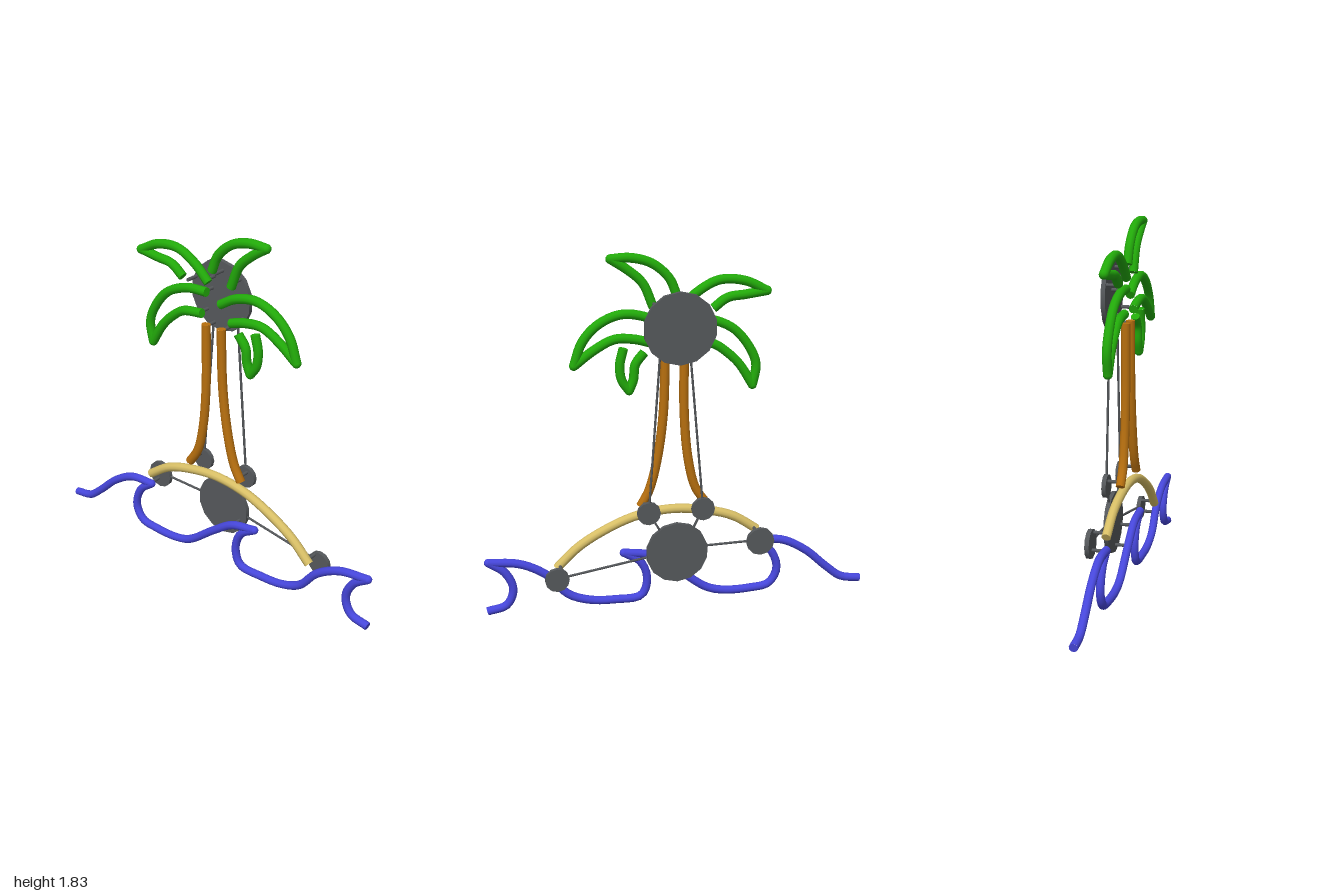
import * as THREE from 'three';

const mat = (name, color) => {
  const m = new THREE.MeshStandardMaterial({ color });
  m.name = name;
  return m;
};

const Z_ROD = 0.032, Z_DISC = -0.046, DISC_T = 0.022;

export function createModel() {
  const root = new THREE.Group();
  root.name = 'palmIslandWallArt';
  const green = mat('leafGreen', 0x22aa0a);
  const brown = mat('trunkBrown', 0xb8700f);
  const sand = mat('sandYellow', 0xd9c067);
  const blue = mat('waveBlue', 0x4747dc);
  const grey = mat('metalGrey', 0x55585b);

  const add = (parent, geo, material, name) => {
    const m = new THREE.Mesh(geo, material);
    m.name = name;
    parent.add(m);
    return m;
  };

  // Bent rod: smooth strokes that meet in sharp tips, flat caps at both ends
  function rod(name, material, r, strokes) {
    const g = new THREE.Group();
    g.name = name;
    strokes.forEach((pts, i) => {
      const curve = new THREE.CatmullRomCurve3(pts.map(([x, y]) => new THREE.Vector3(x, y, Z_ROD)));
      add(g, new THREE.TubeGeometry(curve, pts.length * 4, r, 10), material, name + 'Stroke');
      if (i > 0) add(g, new THREE.SphereGeometry(r, 10, 8), material, name + 'Tip').position.copy(curve.getPoint(0));
      const cap = (t, sign) => {
        const c = add(g, new THREE.CircleGeometry(r, 10), material, name + 'Cap');
        c.position.copy(curve.getPoint(t));
        c.quaternion.setFromUnitVectors(new THREE.Vector3(0, 0, 1), curve.getTangent(t).multiplyScalar(sign));
      };
      if (i === 0) cap(0, -1);
      if (i === strokes.length - 1) cap(1, 1);
    });
    root.add(g);
  }

  // Palm fronds: out along the upper edge, back along the lower edge
  const fronds = {
    leftUpperFrond: [
      [[-0.02, 1.56], [-0.10, 1.635], [-0.21, 1.69], [-0.34, 1.68], [-0.45, 1.627]],
      [[-0.45, 1.627], [-0.34, 1.612], [-0.25, 1.60], [-0.18, 1.55]]],
    topFrond: [
      [[0.003, 1.625], [0.04, 1.71], [0.125, 1.785], [0.23, 1.815], [0.325, 1.812]],
      [[0.325, 1.812], [0.24, 1.755], [0.17, 1.69], [0.12, 1.572]]],
    rightFrond: [
      [[0.055, 1.467], [0.15, 1.52], [0.275, 1.54], [0.39, 1.495], [0.47, 1.41], [0.512, 1.295]],
      [[0.512, 1.295], [0.41, 1.37], [0.31, 1.418], [0.21, 1.413], [0.12, 1.388]]],
    leftLowerFrond: [
      [[-0.03, 1.508], [-0.15, 1.5], [-0.28, 1.445], [-0.365, 1.345], [-0.40, 1.255], [-0.383, 1.15]],
      [[-0.383, 1.15], [-0.315, 1.26], [-0.25, 1.325], [-0.18, 1.372], [-0.06, 1.39]]],
    smallFrond: [
      [[0.165, 1.345], [0.21, 1.285], [0.22, 1.21], [0.242, 1.155]],
      [[0.242, 1.155], [0.278, 1.21], [0.287, 1.285], [0.268, 1.37]]],
  };
  for (const name in fronds) rod(name, green, 0.0235, fronds[name]);

  // Trunk outlines
  rod('leftTrunk', brown, 0.0235,
    [[[-0.035, 1.34], [-0.035, 1.02], [-0.055, 0.78], [-0.093, 0.62], [-0.145, 0.54]]]);
  rod('rightTrunk', brown, 0.0235,
    [[[0.06, 1.34], [0.072, 1.02], [0.105, 0.78], [0.147, 0.62], [0.19, 0.54]]]);

  // Sandy island arc
  rod('island', sand, 0.0235,
    [[[-0.42, 0.365], [-0.29, 0.45], [-0.125, 0.497], [0.04, 0.513], [0.22, 0.487], [0.38, 0.422], [0.515, 0.34], [0.625, 0.235]]]);

  // Three breaking waves in one line
  rod('waves', blue, 0.0215, [
    [[-0.992, 0.036], [-0.89, 0.053], [-0.805, 0.118], [-0.685, 0.225], [-0.555, 0.293], [-0.42, 0.3]],
    [[-0.42, 0.3], [-0.50, 0.235], [-0.533, 0.13], [-0.49, 0.05], [-0.39, 0.032], [-0.25, 0.032],
      [-0.155, 0.058], [0.01, 0.18], [0.14, 0.265], [0.28, 0.29]],
    [[0.28, 0.29], [0.195, 0.235], [0.16, 0.14], [0.19, 0.045], [0.33, 0.032], [0.46, 0.042],
      [0.57, 0.085], [0.675, 0.2], [0.81, 0.273], [0.97, 0.294]],
    [[0.97, 0.294], [0.89, 0.235], [0.85, 0.14], [0.885, 0.055], [0.985, 0.027]],
  ]);

  // Backing discs
  const discs = [
    ['crownDisc', 0, 1.475, 0.182, 14], ['baseDisc', 0.018, 0.305, 0.16, 14],
    ['islandDisc', -0.42, 0.328, 0.073, 12], ['islandDisc', 0.633, 0.205, 0.062, 12],
    ['trunkDisc', -0.117, 0.532, 0.06, 12], ['trunkDisc', 0.162, 0.528, 0.06, 12],
  ];
  for (const [name, x, y, r, sides] of discs) {
    const d = add(root, new THREE.CylinderGeometry(r, r, DISC_T, sides), grey, name);
    d.rotation.x = Math.PI / 2;
    d.position.set(x, y, Z_DISC);
  }

  // Standoff pins from the discs to the rods
  const pins = [
    [-0.035, 1.57], [0.015, 1.61], [0.12, 1.59], [-0.15, 1.54], [-0.05, 1.505], [0.07, 1.475], [0.14, 1.395],
    [-0.08, 1.388], [-0.035, 1.33], [0.06, 1.33], [-0.13, 0.56], [0.175, 0.56], [0.02, 0.183], [0.13, 0.258],
    [-0.4, 0.38], [-0.43, 0.3], [0.61, 0.25], [0.652, 0.175],
  ];
  for (const [x, y] of pins) {
    const p = add(root, new THREE.CylinderGeometry(0.009, 0.009, Z_ROD - Z_DISC, 8), grey, 'standoffPin');
    p.rotation.x = Math.PI / 2;
    p.position.set(x, y, (Z_ROD + Z_DISC) / 2);
  }

  // Thin bracing wires between the discs
  const wires = [
    [-0.42, 0.335, 0.018, 0.325], [0.633, 0.21, 0.018, 0.315],
    [-0.117, 0.532, 0.0, 0.3], [0.162, 0.528, 0.03, 0.3],
    [-0.117, 0.532, -0.045, 1.4], [0.162, 0.528, 0.097, 1.4],
  ];
  for (const [x1, y1, x2, y2] of wires) {
    const w = add(root, new THREE.CylinderGeometry(0.006, 0.006, Math.hypot(x2 - x1, y2 - y1), 6), grey, 'bracingWire');
    w.position.set((x1 + x2) / 2, (y1 + y2) / 2, Z_DISC);
    w.rotation.z = Math.atan2(y2 - y1, x2 - x1) - Math.PI / 2;
  }
  return root;
}
